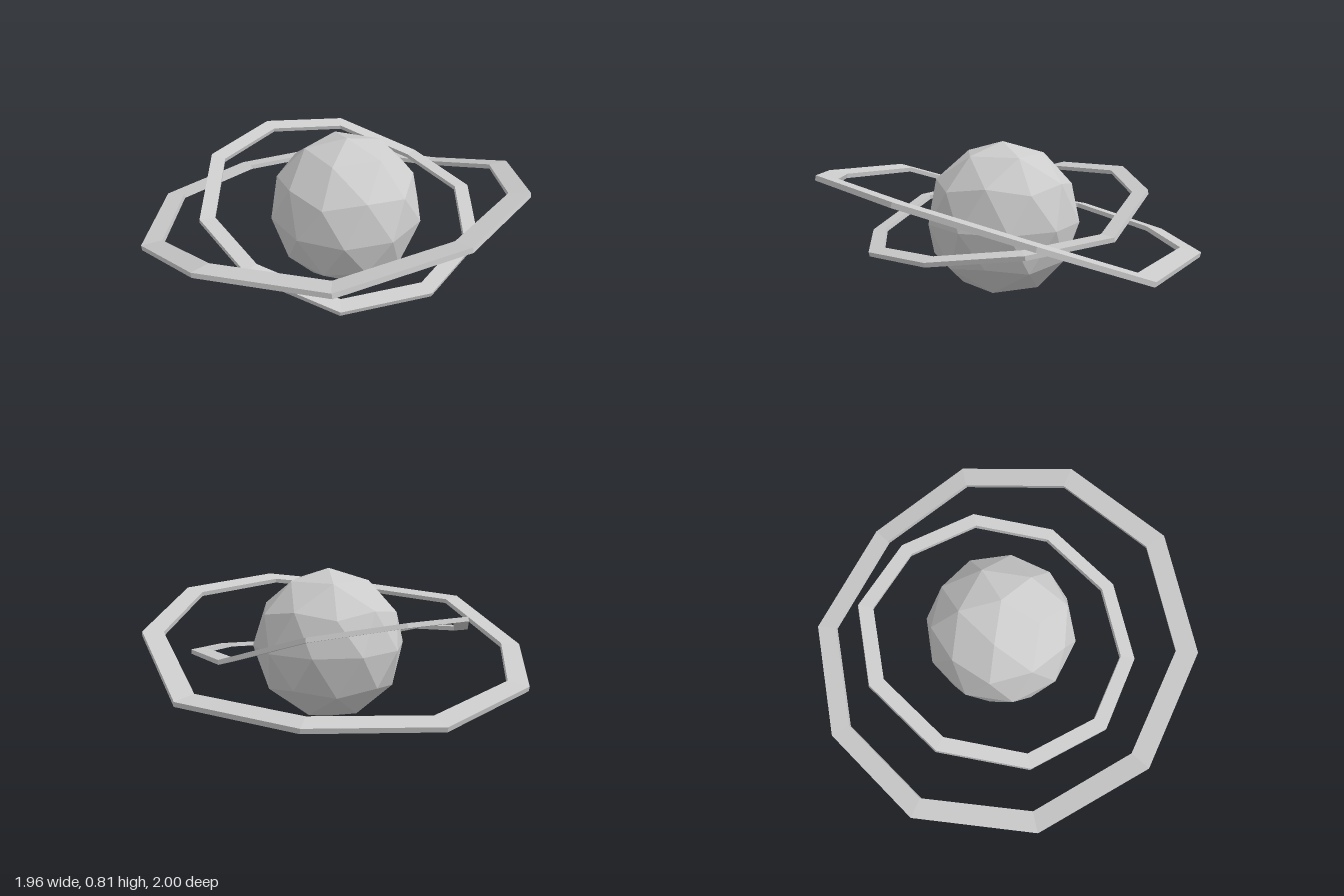
import * as THREE from 'three';

const material = new THREE.MeshStandardMaterial({ color: 0xcccccc, flatShading: true });

// Flat ten-sided band: rim holds the outer top corners, the hole is the rim
// shrunk towards the centre, and the underside is offset along the tilt.
function bandGeometry(rim, centre, holeScale, thickness, normal) {
  const mid = new THREE.Vector3(...centre);
  const drop = new THREE.Vector3(...normal).normalize().multiplyScalar(-thickness);
  const sections = rim.map((p) => {
    const outer = new THREE.Vector3(...p);
    const inner = mid.clone().lerp(outer, holeScale);
    return [outer, inner, inner.clone().add(drop), outer.clone().add(drop)];
  });
  const positions = [];
  sections.forEach((a, i) => {
    const b = sections[(i + 1) % sections.length];
    for (let k = 0; k < 4; k++) {
      const n = (k + 1) % 4;
      for (const v of [a[k], b[k], b[n], a[k], b[n], a[n]]) positions.push(v.x, v.y, v.z);
    }
  });
  const geometry = new THREE.BufferGeometry();
  geometry.setAttribute('position', new THREE.Float32BufferAttribute(positions, 3));
  geometry.computeVertexNormals();
  return geometry;
}

export function createModel() {
  const group = new THREE.Group();
  group.name = 'ringedPlanet';
  const add = (name, geometry) => {
    const mesh = new THREE.Mesh(geometry, material);
    mesh.name = name;
    group.add(mesh);
    return mesh;
  };

  // Faceted globe with a corner straight up
  const globe = new THREE.IcosahedronGeometry(0.405, 1);
  globe.rotateZ(-Math.atan(2 / (1 + Math.sqrt(5))));
  add('planet', globe).position.set(0.043, 0.41, 0.047);

  // Wide ring, high at the front and slightly warped
  add('outerRing', bandGeometry([
    [0.03, 0.695, 0.99], [0.62, 0.66, 0.77], [0.98, 0.51, 0.28], [0.96, 0.287, -0.3],
    [0.57, 0.265, -0.83], [-0.03, 0.238, -1.0], [-0.62, 0.298, -0.8], [-0.98, 0.375, -0.27],
    [-0.965, 0.573, 0.33], [-0.58, 0.62, 0.835],
  ], [0, 0.46, 0], 0.895, 0.025, [0, 1, -0.24]));

  // Small ring, tilted the other way
  add('innerRing', bandGeometry([
    [0.04, 0.298, 0.76], [0.48, 0.345, 0.605], [0.745, 0.405, 0.23], [0.73, 0.44, -0.22],
    [0.44, 0.585, -0.58], [0, 0.635, -0.7], [-0.435, 0.61, -0.545], [-0.7, 0.485, -0.165],
    [-0.685, 0.425, 0.28], [-0.4, 0.303, 0.64],
  ], [0.02, 0.453, 0.03], 0.895, 0.023, [0, 1, 0.23]));

  return group;
}
